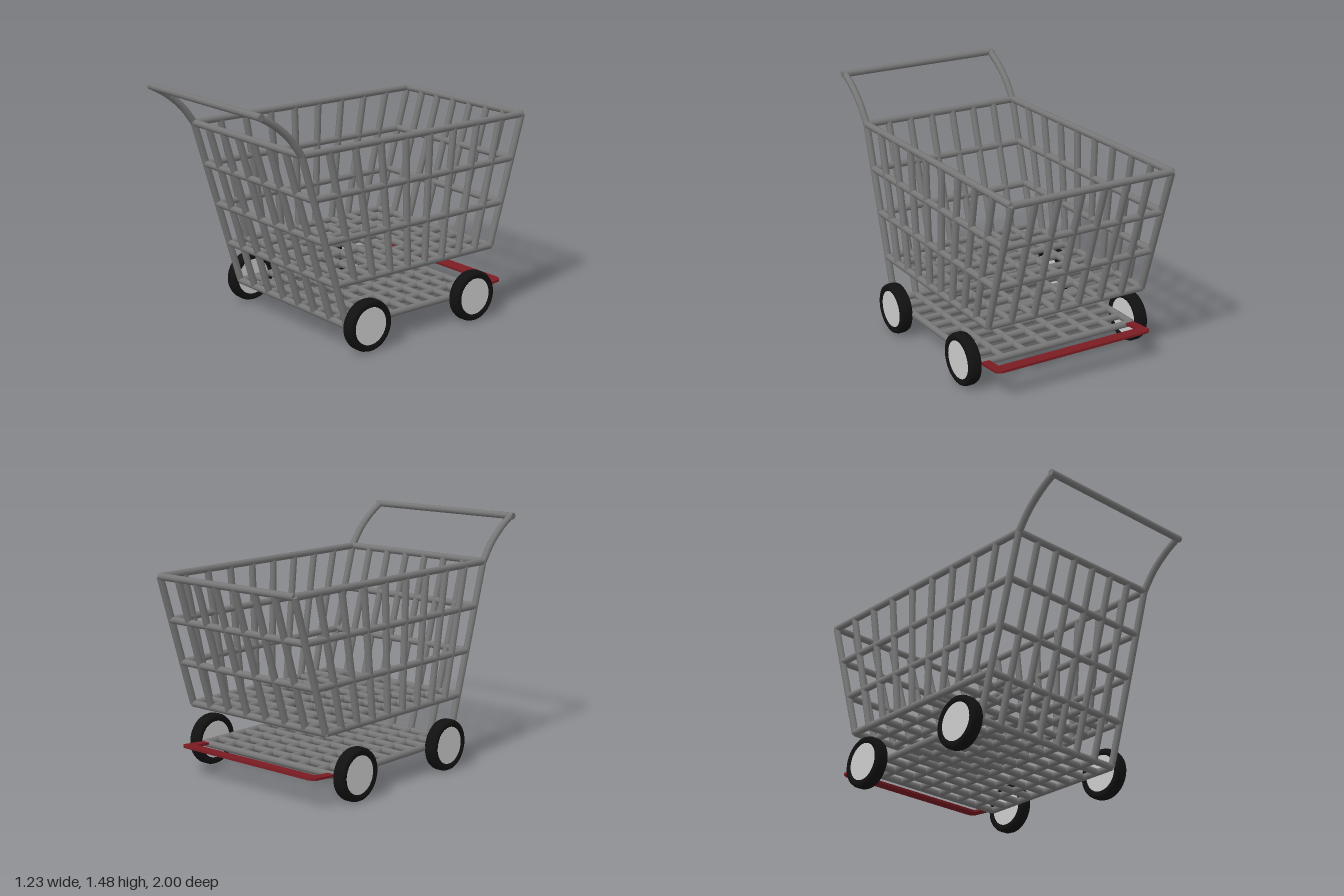
import * as THREE from 'three';

const steel = new THREE.MeshStandardMaterial({ color: 0x777777 });
const grey = new THREE.MeshStandardMaterial({ color: 0xcccccc });
const rubber = new THREE.MeshStandardMaterial({ color: 0x111111 });
const red = new THREE.MeshStandardMaterial({ color: 0x7a1c22 });

const R = 0.021;            // rod radius
const X = 0.525;            // half width of the frame
const TOP = 1.212, LOW = 0.422, BASE = 0.16;
const BASE_END = -0.65;
const lerp = THREE.MathUtils.lerp;
const V = (x, y, z) => new THREE.Vector3(x, y, z);

// z of the sloping handle side and of the sloping nose at height y
const handleZ = y => lerp(0.385, 0.70, (y - BASE) / (TOP - BASE));
const noseZ = y => lerp(-0.74, -0.98, (y - LOW) / (TOP - LOW));

// straight round bar between two points
function rod(parent, name, a, b) {
  const d = b.clone().sub(a);
  const mesh = new THREE.Mesh(new THREE.CylinderGeometry(R, R, d.length(), 10), steel);
  mesh.position.copy(a).add(b).multiplyScalar(0.5);
  mesh.quaternion.setFromUnitVectors(V(0, 1, 0), d.normalize());
  mesh.name = name;
  parent.add(mesh);
}

function group(parent, name) {
  const g = new THREE.Group();
  g.name = name;
  parent.add(g);
  return g;
}

// flat grid of bars at height y, from z0 to z1
function floorGrid(parent, name, y, z0, z1) {
  const g = group(parent, name);
  for (let i = 0; i <= 9; i++) {
    const z = lerp(z0, z1, i / 9);
    rod(g, 'crossBar', V(-X, y, z), V(X, y, z));
  }
  for (let i = 0; i <= 7; i++) {
    const x = lerp(-X, X, i / 7);
    rod(g, 'longBar', V(x, y, z0), V(x, y, z1));
  }
}

function makeWheel(side, z) {
  const wheel = new THREE.Group();
  wheel.name = 'wheel';
  // tyre: rounded section turned about the axle
  const section = [
    [0.11, -0.03], [0.12, -0.038], [0.138, -0.041], [0.15, -0.034], [0.156, -0.018],
    [0.156, 0.018], [0.15, 0.034], [0.138, 0.041], [0.12, 0.038], [0.11, 0.03], [0.11, -0.03],
  ].map(p => new THREE.Vector2(...p));
  const tyre = new THREE.Mesh(new THREE.LatheGeometry(section, 40), rubber);
  tyre.name = 'tyre';
  const hub = new THREE.Mesh(new THREE.CylinderGeometry(0.113, 0.113, 0.066, 40), grey);
  hub.name = 'hub';
  wheel.add(tyre, hub);
  wheel.rotation.z = Math.PI / 2;
  wheel.position.set(side * 0.576, 0.158, z);
  return wheel;
}

export function createModel() {
  const cart = new THREE.Group();
  cart.name = 'shoppingCart';

  // side posts sweeping up into the push handle
  const frame = group(cart, 'handleFrame');
  for (const s of [-1, 1]) {
    const x = s * X;
    const sweep = new THREE.CatmullRomCurve3([
      V(x, 1.465, 0.98), V(x, 1.408, 0.885), V(x, 1.32, 0.782), V(x, TOP, 0.70),
    ]);
    const arm = new THREE.Mesh(new THREE.TubeGeometry(sweep, 16, R, 10), steel);
    arm.name = 'handleArm';
    frame.add(arm);
    rod(frame, 'handlePost', V(x, TOP + 0.01, handleZ(TOP + 0.01)), V(x, BASE, handleZ(BASE)));
  }
  rod(frame, 'handleBar', V(-X - R, 1.465, 0.98), V(X + R, 1.465, 0.98));

  // basket rails, four levels round the sides
  const basket = group(cart, 'basket');
  for (let i = 0; i < 4; i++) {
    const y = lerp(LOW, TOP, i / 3), zh = handleZ(y), zn = noseZ(y);
    rod(basket, 'handleSideRail', V(-X, y, zh), V(X, y, zh));
    rod(basket, 'noseRail', V(-X, y, zn), V(X, y, zn));
    for (const x of [-X, X]) rod(basket, 'sideRail', V(x, y, zh), V(x, y, zn));
  }

  // upright bars: the handle side runs on down to the lower rack
  for (let i = 0; i <= 7; i++) {
    const x = lerp(-X, X, i / 7);
    rod(basket, 'noseUpright', V(x, LOW, noseZ(LOW)), V(x, TOP, noseZ(TOP)));
    if (i > 0 && i < 7) {
      rod(basket, 'handleSideUpright', V(x, BASE, handleZ(BASE)), V(x, TOP, handleZ(TOP)));
    }
  }
  for (let i = 1; i < 9; i++) {
    const zl = lerp(handleZ(LOW), noseZ(LOW), i / 9);
    const zt = lerp(handleZ(TOP), noseZ(TOP), i / 9);
    for (const x of [-X, X]) rod(basket, 'sideUpright', V(x, LOW, zl), V(x, TOP, zt));
  }

  floorGrid(cart, 'basketFloor', LOW, handleZ(LOW), noseZ(LOW));
  floorGrid(cart, 'lowerRack', BASE, handleZ(BASE), BASE_END);

  // flat U-shaped bumper with cut corners, tilted slightly upward
  const outline = new THREE.Shape([
    [-0.53, 0], [-0.53, 0.19], [-0.50, 0.215], [0.50, 0.215], [0.53, 0.19], [0.53, 0],
    [0.475, 0], [0.475, 0.135], [-0.475, 0.135], [-0.475, 0],
  ].map(p => new THREE.Vector2(...p)));
  const bumperGeo = new THREE.ExtrudeGeometry(outline, { depth: 0.014, bevelEnabled: false });
  bumperGeo.rotateX(-Math.PI / 2);
  const bumper = new THREE.Mesh(bumperGeo, red);
  bumper.name = 'bumper';
  bumper.rotation.x = 0.08;
  bumper.position.set(0, 0.157, -0.635);
  cart.add(bumper);

  const wheels = group(cart, 'wheels');
  for (const s of [-1, 1]) for (const z of [0.275, -0.545]) wheels.add(makeWheel(s, z));

  return cart;
}
